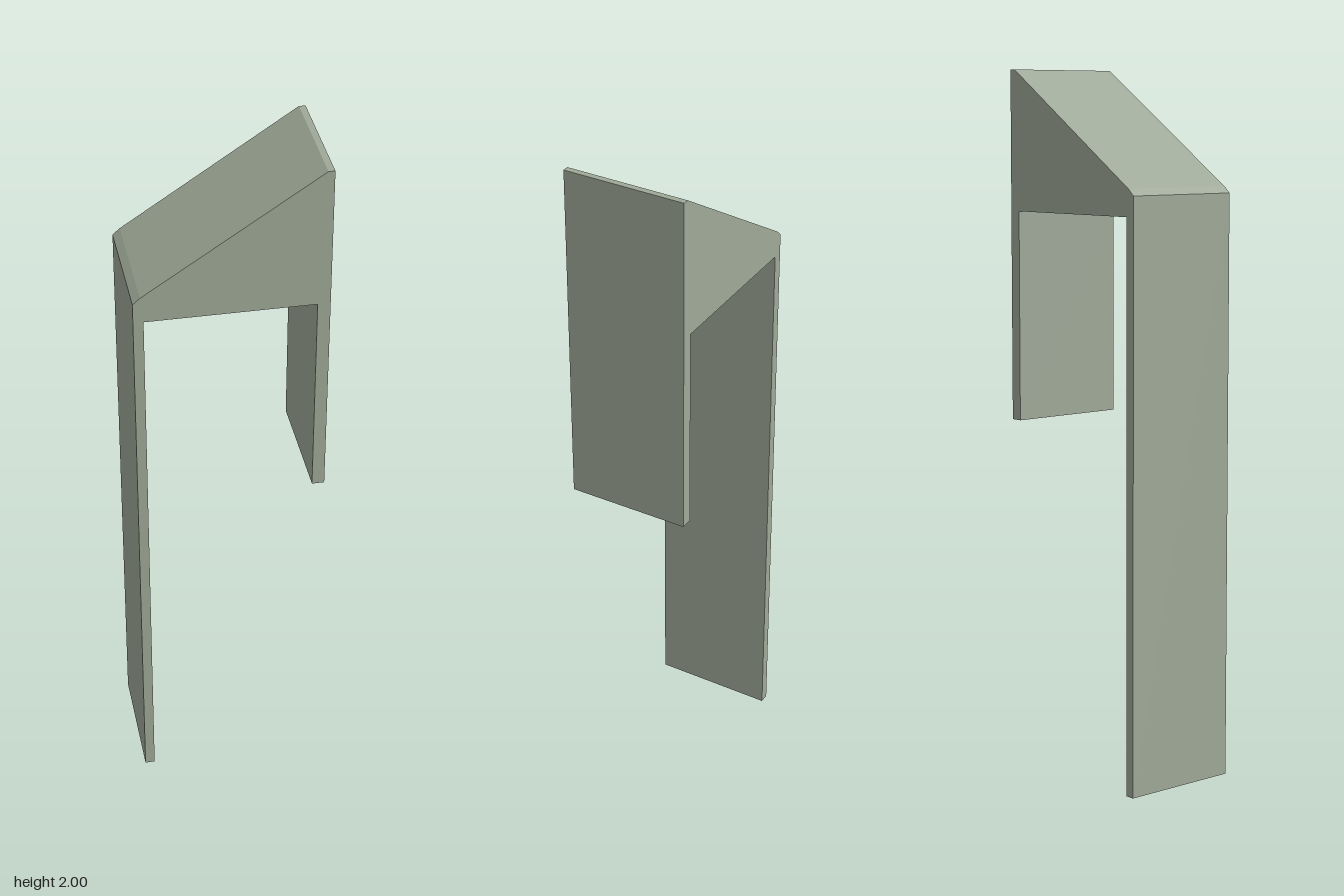
import * as THREE from 'three';

export function createModel() {
  const group = new THREE.Group();
  group.name = 'slopedBracket';
  const greyGreen = new THREE.MeshStandardMaterial({ color: 0x9fa998 });
  greyGreen.name = 'greyGreen';

  // Front outline: long leg, wedge-shaped head with sloping top, short leg
  const outline = [
    [-0.264, 0], [-0.236, 0], [-0.236, 1.603], [0.228, 1.603],
    [0.228, 1.005], [0.263, 1.005], [0.263, 2], [0.245, 2],
    [-0.244, 1.678], [-0.264, 1.66],
  ].map(([x, y]) => new THREE.Vector2(x, y));

  // Extruded front to back as one solid
  const depth = 0.353;
  const geometry = new THREE.ExtrudeGeometry(new THREE.Shape(outline), { depth, bevelEnabled: false });
  geometry.translate(0, 0, -depth / 2);

  const bracket = new THREE.Mesh(geometry, greyGreen);
  bracket.name = 'legsAndSlopedHead';
  group.add(bracket);
  return group;
}
